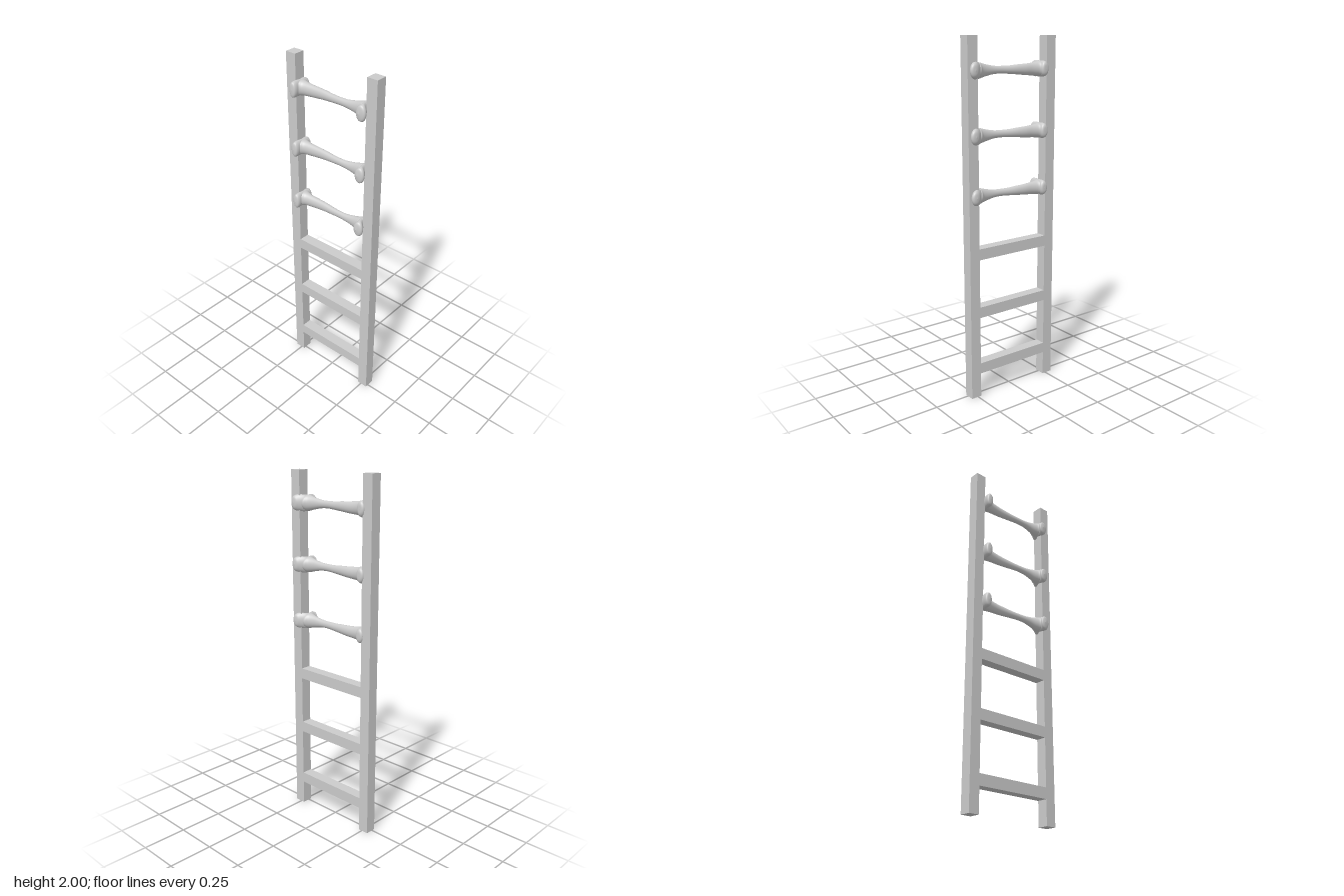
import * as THREE from 'three';

const material = new THREE.MeshStandardMaterial({ color: 0xcccccc });
const RAIL_Z = -0.012, BEAM = 0.062;

// Smooth closed loft along local x; each section is [x, centreY, radiusY, centreZ, radiusZ]
function loft(sections, steps = 64, sides = 32) {
  const curve = (pick) => new THREE.CatmullRomCurve3(
    sections.map((s) => new THREE.Vector3(...pick(s))), false, 'catmullrom', 0.5);
  const a = curve((s) => [s[0], s[1], s[2]]);
  const b = curve((s) => [s[3], s[4], 0]);
  const positions = [], index = [];
  for (let i = 0; i <= steps; i++) {
    const p = a.getPoint(i / steps), q = b.getPoint(i / steps);
    for (let j = 0; j < sides; j++) {
      const t = (j / sides) * Math.PI * 2;
      positions.push(p.x, p.y + p.z * Math.sin(t), q.x + q.y * Math.cos(t));
      if (i === steps) continue;
      const k = (j + 1) % sides, r = i * sides, n = r + sides;
      index.push(r + j, n + j, r + k, n + j, n + k, r + k);
    }
  }
  const geometry = new THREE.BufferGeometry();
  geometry.setAttribute('position', new THREE.Float32BufferAttribute(positions, 3));
  geometry.setIndex(index);
  geometry.computeVertexNormals();
  return geometry;
}

// Shaft runs along x and flares at both ends
const shaftGeometry = loft([
  [-0.232, 0, 0, -0.002, 0],
  [-0.225, 0, 0.034, -0.002, 0.036],
  [-0.205, 0, 0.041, -0.002, 0.045],
  [-0.185, -0.001, 0.038, -0.004, 0.031],
  [-0.15, -0.002, 0.034, -0.004, 0.024],
  [-0.1, -0.002, 0.03, -0.006, 0.021],
  [-0.05, -0.001, 0.026, -0.005, 0.019],
  [0, -0.001, 0.022, -0.002, 0.017],
  [0.05, 0, 0.02, 0.001, 0.0155],
  [0.1, 0, 0.022, 0.002, 0.0165],
  [0.15, 0, 0.031, 0.001, 0.021],
  [0.185, 0, 0.04, 0.002, 0.032],
  [0.205, 0, 0.043, 0.002, 0.046],
  [0.222, 0, 0.036, -0.002, 0.036],
  [0.228, 0, 0, -0.005, 0],
], 80);

// Heads run front to back: local x is depth, local z is -x of the model
const headGeometry = (sections) => loft(sections).rotateY(-Math.PI / 2);

const rightHeadGeometry = headGeometry([
  [-0.055, 0, 0, 0.217, 0],
  [-0.053, 0, 0.024, 0.217, 0.015],
  [-0.044, 0, 0.038, 0.217, 0.023],
  [-0.025, 0, 0.043, 0.216, 0.022],
  [0, 0, 0.043, 0.214, 0.018],
  [0.03, 0, 0.044, 0.217, 0.021],
  [0.05, -0.001, 0.043, 0.218, 0.022],
  [0.061, -0.001, 0.033, 0.218, 0.016],
  [0.065, -0.001, 0, 0.218, 0],
]);

const leftHeadGeometry = headGeometry([
  [-0.067, 0.003, 0, -0.255, 0],
  [-0.063, 0.003, 0.026, -0.255, 0.017],
  [-0.053, 0.002, 0.039, -0.252, 0.028],
  [-0.038, 0.002, 0.045, -0.24, 0.033],
  [-0.02, 0, 0.045, -0.218, 0.024],
  [0, 0, 0.044, -0.21, 0.018],
  [0.02, 0, 0.045, -0.213, 0.02],
  [0.04, 0, 0.044, -0.22, 0.026],
  [0.054, 0, 0.036, -0.217, 0.023],
  [0.061, 0, 0, -0.212, 0],
]);

function addMesh(parent, geometry, name, x = 0, y = 0, z = 0) {
  const mesh = new THREE.Mesh(geometry, material);
  mesh.name = name;
  mesh.position.set(x, y, z);
  parent.add(mesh);
}

export function createModel() {
  const ladder = new THREE.Group();
  ladder.name = 'ladder';

  // Side rails
  const railGeometry = new THREE.BoxGeometry(BEAM, 2, BEAM);
  addMesh(ladder, railGeometry, 'leftRail', 0.26, 1, RAIL_Z);
  addMesh(ladder, railGeometry, 'rightRail', -0.26, 1, RAIL_Z);

  // Three plain rungs below
  const rungGeometry = new THREE.BoxGeometry(0.458, BEAM, BEAM);
  for (const y of [0.171, 0.508, 0.845]) addMesh(ladder, rungGeometry, 'plainRung', 0, y, RAIL_Z);

  // Three bone rungs above
  for (const y of [1.162, 1.486, 1.824]) {
    const bone = new THREE.Group();
    bone.name = 'boneRung';
    bone.position.y = y;
    addMesh(bone, shaftGeometry, 'boneShaft');
    addMesh(bone, rightHeadGeometry, 'boneRightHead');
    addMesh(bone, leftHeadGeometry, 'boneLeftHead');
    ladder.add(bone);
  }
  return ladder;
}
